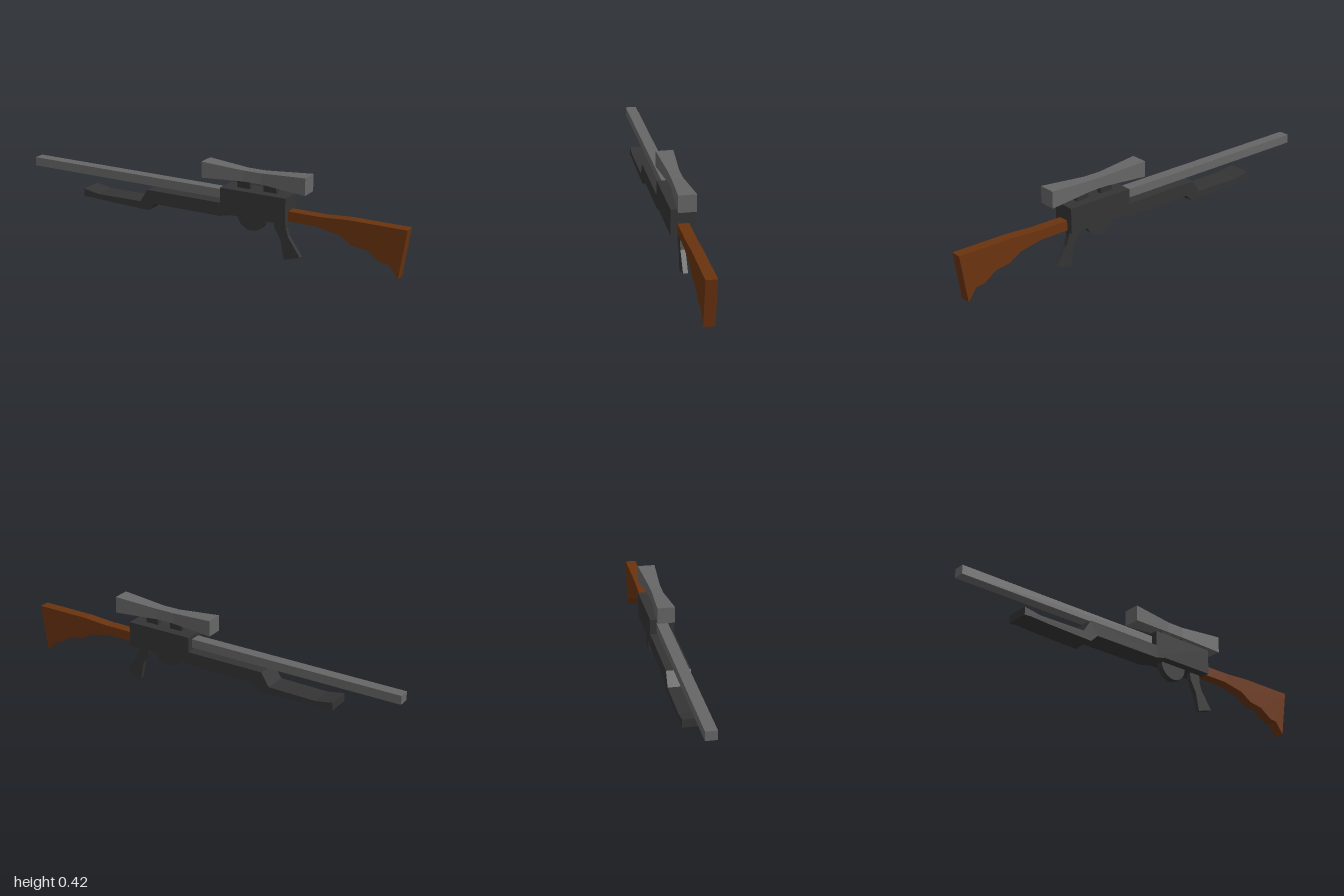
import * as THREE from 'three';

const steel = new THREE.MeshStandardMaterial({ color: 0x666666 });
steel.name = 'steel grey';
const dark = new THREE.MeshStandardMaterial({ color: 0x343434 });
dark.name = 'dark grey';
const wood = new THREE.MeshStandardMaterial({ color: 0x6a330f });
wood.name = 'brown wood';

export function createModel() {
  const model = new THREE.Group();

  function add(name, geometry, material) {
    const mesh = new THREE.Mesh(geometry, material);
    mesh.name = name;
    model.add(mesh);
    return mesh;
  }

  // Box given by its x and y limits and half its thickness
  function block(name, x0, x1, y0, y1, half, material) {
    const mesh = add(name, new THREE.BoxGeometry(x1 - x0, y1 - y0, half * 2), material);
    mesh.position.set((x0 + x1) / 2, (y0 + y1) / 2, 0);
    return mesh;
  }

  // Side profile extruded evenly about z = 0
  function slab(name, points, half, material) {
    const shape = new THREE.Shape(points.map(([x, y]) => new THREE.Vector2(x, y)));
    const geometry = new THREE.ExtrudeGeometry(shape, { depth: half * 2, bevelEnabled: false });
    geometry.translate(0, 0, -half);
    return add(name, geometry, material);
  }

  block('barrel', -1, 0.1, 0.254, 0.297, 0.027, steel);
  block('receiver', 0.083, 0.422, 0.19, 0.315, 0.057, dark);

  // Stepped fore-end below the barrel
  slab('foreEnd', [
    [-0.686, 0.15], [-0.65, 0.152], [-0.56, 0.147], [-0.313, 0.139], [-0.275, 0.176],
    [0.08, 0.176], [0.147, 0.191], [0.147, 0.241], [-0.316, 0.241], [-0.357, 0.177],
    [-0.6, 0.174], [-0.686, 0.189],
  ], 0.0568, dark);

  // Wooden shoulder stock with a scalloped underside
  slab('stock', [
    [0.41, 0.198], [0.564, 0.198], [0.68, 0.176], [0.74, 0.139], [0.815, 0.128],
    [0.88, 0.085], [0.922, 0.08], [0.965, 0.022], [1, 0.255], [0.72, 0.255],
    [0.585, 0.246], [0.41, 0.246],
  ], 0.026, wood);

  // Curved pistol grip
  slab('grip', [
    [0.34, 0.2], [0.344, 0.155], [0.378, 0.093], [0.396, 0.003], [0.478, 0.027],
    [0.417, 0.115], [0.403, 0.155], [0.403, 0.2],
  ], 0.0115, dark);

  // Half-round guard under the receiver
  const guard = [];
  for (let i = 0; i <= 14; i++) {
    const a = Math.PI + (Math.PI * i) / 14;
    guard.push([0.228 + 0.075 * Math.cos(a), 0.192 + 0.075 * Math.sin(a)]);
  }
  slab('guard', guard, 0.016, dark);

  // Scope: a square tube narrowing to a waist
  const sections = [
    [-0.025, 0.342, 0.42, 0.042],
    [0.19, 0.352, 0.405, 0.027],
    [0.28, 0.352, 0.405, 0.027],
    [0.512, 0.338, 0.42, 0.042],
  ];
  let scope = new THREE.BoxGeometry(3, 1, 1, 3, 1, 1);
  const p = scope.attributes.position;
  for (let i = 0; i < p.count; i++) {
    const [x, low, high, half] = sections[Math.round(p.getX(i) + 1.5)];
    p.setXYZ(i, x, p.getY(i) > 0 ? high : low, p.getZ(i) > 0 ? half : -half);
  }
  scope = scope.toNonIndexed();
  scope.computeVertexNormals();
  add('scope', scope, steel);

  // Scope mounts, wider at the top
  for (const [name, x] of [['frontMount', 0.184], ['rearMount', 0.32]]) {
    let mount = new THREE.BoxGeometry(0.066, 0.046, 0.032);
    const m = mount.attributes.position;
    for (let i = 0; i < m.count; i++) if (m.getY(i) < 0) m.setZ(i, m.getZ(i) * 0.68);
    mount = mount.toNonIndexed();
    mount.computeVertexNormals();
    add(name, mount, dark).position.set(x, 0.333, 0);
  }

  return model;
}
